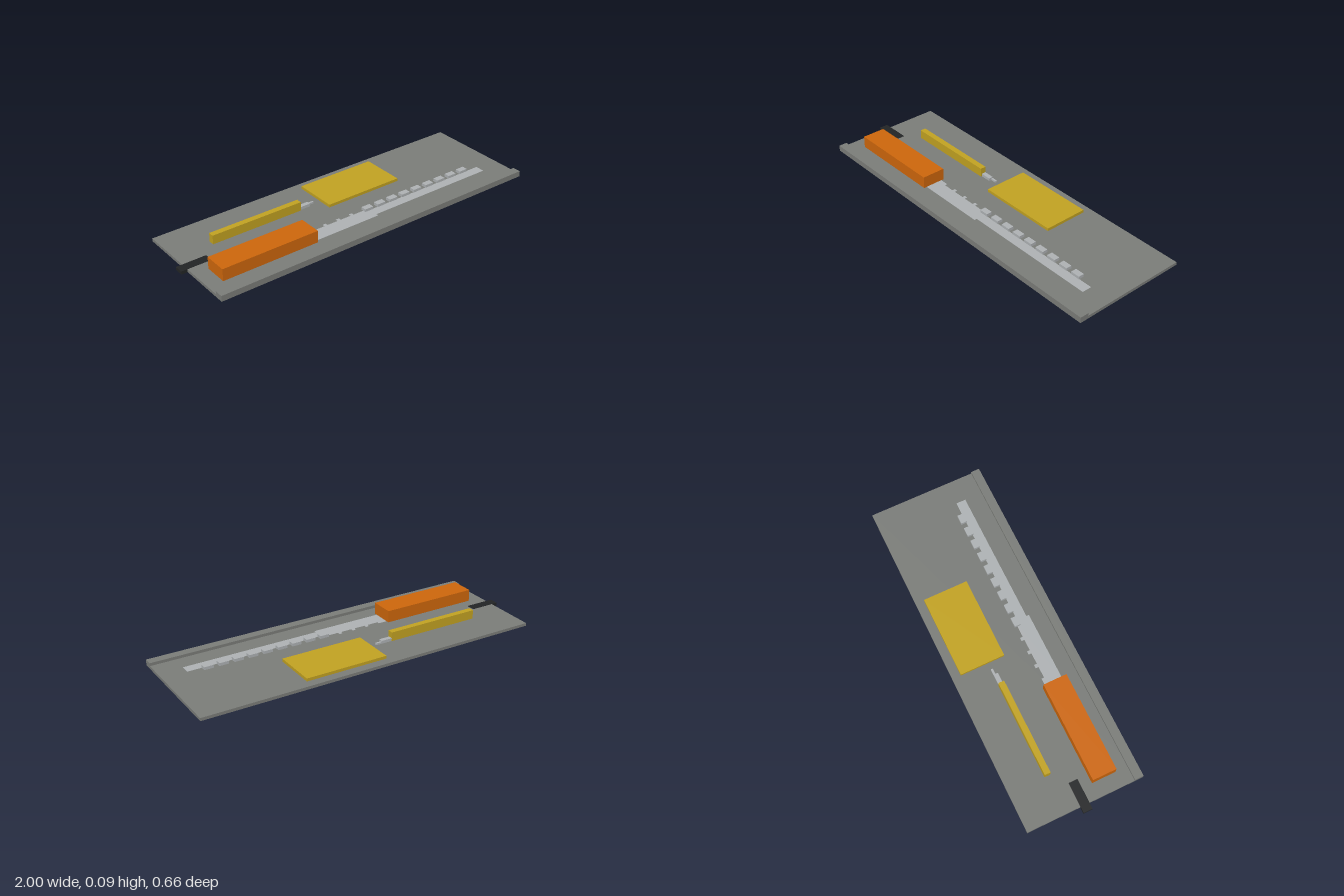
import * as THREE from 'three';

const paint = (name, color) => {
  const m = new THREE.MeshStandardMaterial({ color });
  m.name = name;
  return m;
};

export function createModel() {
  const model = new THREE.Group();
  model.name = 'toolBoard';
  const grey = paint('board grey', 0x7c7e7a);
  const silver = paint('light steel', 0xb0b4b6);
  const orange = paint('orange', 0xd0680c);
  const yellow = paint('mustard yellow', 0xc4a422);
  const black = paint('black', 0x232526);

  // Box given by its limits on each axis
  const box = (name, mat, x0, x1, y0, y1, z0, z1, parent = model) => {
    const mesh = new THREE.Mesh(new THREE.BoxGeometry(x1 - x0, y1 - y0, z1 - z0), mat);
    mesh.position.set((x0 + x1) / 2, (y0 + y1) / 2, (z0 + z1) / 2);
    mesh.name = name;
    parent.add(mesh);
  };
  const group = (name) => {
    const g = new THREE.Group();
    g.name = name;
    model.add(g);
    return g;
  };
  const top = 0.0172, inlayTop = 0.018, low = 0.0335;

  // Board with a raised rail along the front edge
  box('board', grey, -0.965, 1, 0.0008, top, -0.33, 0.33);
  box('frontRail', grey, -0.965, 1, top, low, 0.281, 0.33);

  // Black tab let into the right end
  box('endTab', black, -1, -0.83, 0, inlayTop, -0.03, 0.021);

  // Orange handle block
  box('handleBlock', orange, -0.882, -0.322, top, 0.085, 0.078, 0.212);

  // Steel blade let into the board, stepping down in width
  const blade = group('blade');
  box('wideBlade', silver, -0.33, 0.083, 0, inlayTop, 0.11, 0.195, blade);
  box('narrowBlade', silver, 0.083, 0.863, 0, inlayTop, 0.125, 0.18, blade);
  box('bladeHeel', silver, -0.322, -0.27, 0, inlayTop, 0.095, 0.11, blade);
  for (let i = 0; i < 3; i++) {
    const x = -0.205 + i * 0.085;
    box('flushTooth', silver, x, x + 0.02, 0, inlayTop, 0.093, 0.11, blade);
  }
  // Raised teeth along the back of the blade
  for (let i = 0; i < 9; i++) {
    const x = 0.05 + i * 0.085;
    box('raisedTooth', silver, x, x + 0.053, 0, low, 0.095, 0.128, blade);
  }

  // Small yellow-handled tool with a stepped steel tip
  box('barHandle', yellow, -0.75, -0.208, top, 0.068, -0.127, -0.094);
  box('tipBase', silver, -0.208, -0.145, top, low, -0.125, -0.1);
  box('tipEnd', silver, -0.145, -0.11, top, 0.027, -0.125, -0.114);

  // Flat yellow plate
  box('flatPlate', yellow, -0.07, 0.402, top, low, -0.281, -0.027);

  return model;
}
